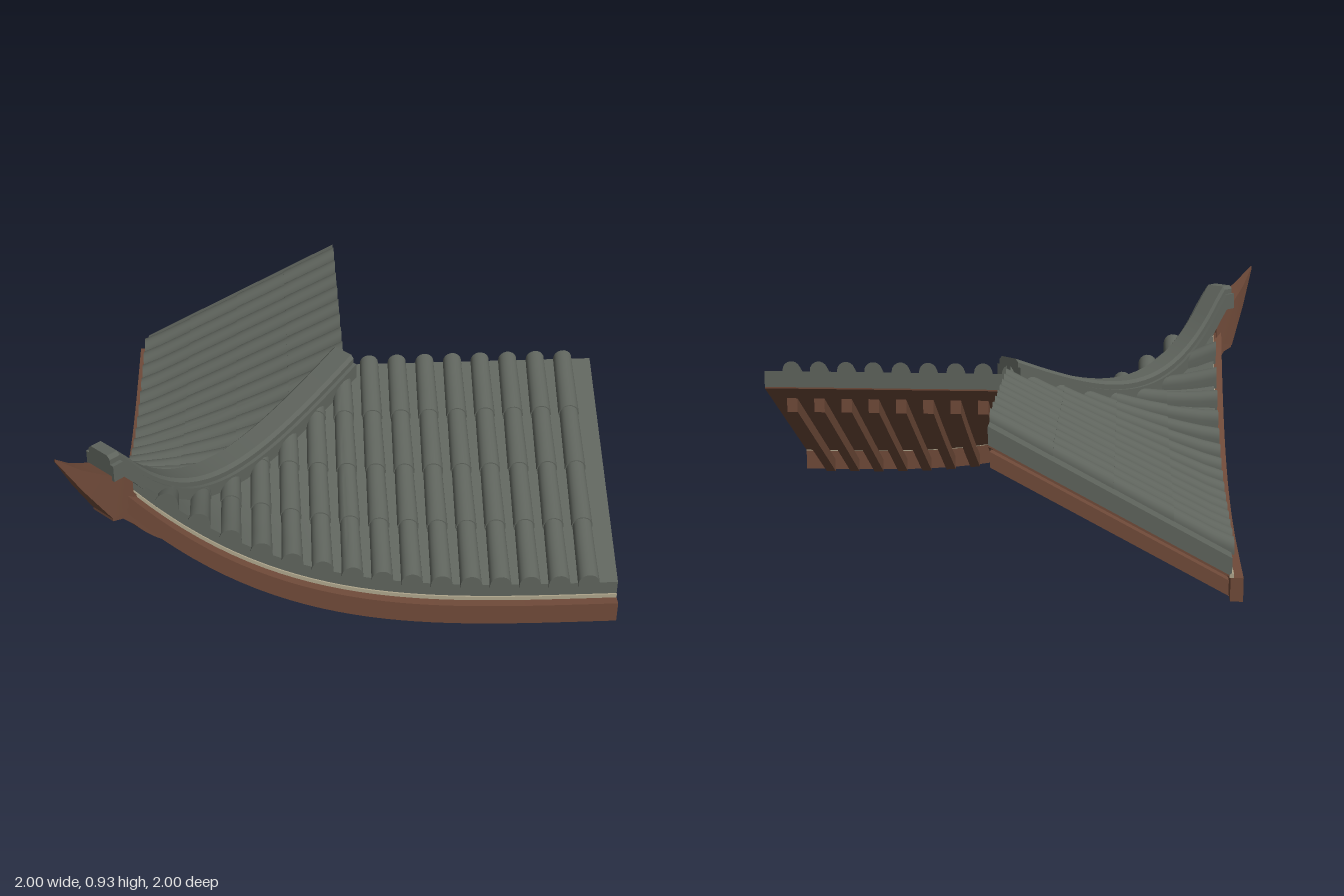
import * as THREE from 'three';
import { toCreasedNormals } from 'three/addons/utils/BufferGeometryUtils.js';

const TOP = -0.02, EAVE = 0.82;
const tile = new THREE.MeshStandardMaterial({ color: 0x5e635c });
const wood = new THREE.MeshStandardMaterial({ color: 0x6f4a39 });
const cream = new THREE.MeshStandardMaterial({ color: 0xada48b });
tile.name = 'grey tile';
wood.name = 'brown wood';
cream.name = 'cream trim';

// Roof surface: a straight slope whose eave sweeps up toward the corner
const lift = x => 0.65 * Math.pow(Math.max(0, 1 - x) / 1.85, 3.5);
function surf(x, z) {
  const v = Math.min(1, (z - TOP) / (EAVE - TOP));
  return 0.615 - 0.45 * v + lift(x) * v * v;
}
const lerp = THREE.MathUtils.lerp;

// Skin a list of even-sized rings, cap both ends, and orient outward
function loft(rings) {
  const tris = [], n = rings[0].length, last = rings.length - 1;
  const quad = (a, b, c, d) => tris.push([a, b, c], [a, c, d]);
  for (let i = 0; i < last; i++) {
    for (let j = 0; j < n; j++) {
      const k = (j + 1) % n;
      quad(rings[i][j], rings[i][k], rings[i + 1][k], rings[i + 1][j]);
    }
  }
  for (let j = 0; j < n / 2 - 1; j++) {
    const [a, b, c, d] = [j, j + 1, n - 2 - j, n - 1 - j];
    quad(rings[0][d], rings[0][c], rings[0][b], rings[0][a]);
    quad(rings[last][a], rings[last][b], rings[last][c], rings[last][d]);
  }
  const cross = new THREE.Vector3();
  let volume = 0;
  for (const [a, b, c] of tris) volume += cross.crossVectors(b, c).dot(a);
  const pos = [];
  for (const [a, b, c] of tris) {
    for (const p of volume < 0 ? [a, c, b] : [a, b, c]) pos.push(p.x, p.y, p.z);
  }
  const g = new THREE.BufferGeometry();
  g.setAttribute('position', new THREE.Float32BufferAttribute(pos, 3));
  return toCreasedNormals(g, 0.5);
}

function add(parent, name, rings, material) {
  const mesh = new THREE.Mesh(loft(rings), material);
  mesh.name = name;
  parent.add(mesh);
}

// One wing; the other is its reflection across the hip diagonal
function makeWing(mirrored) {
  const wing = new THREE.Group();
  wing.name = mirrored ? 'sideWing' : 'frontWing';
  const P = (x, y, z) => mirrored ? new THREE.Vector3(-z, y, -x) : new THREE.Vector3(x, y, z);

  // Curved layers of the roof deck, mitred along the hip
  const layer = (name, upper, lower, material) => {
    const rings = [];
    for (let i = 0; i <= 28; i++) {
      const over = [], under = [];
      for (let j = 0; j <= 12; j++) {
        const z = lerp(TOP, EAVE, j / 12), x = lerp(-z, 1, i / 28), y = surf(x, z);
        over.push(P(x, y - upper, z));
        under.unshift(P(x, y - lower, z));
      }
      rings.push([...over, ...under]);
    }
    add(wing, name, rings, material);
  };
  layer('roofDeck', 0, 0.065, tile);
  layer('sheathing', 0.065, 0.071, wood);

  // Boards following the eave curve
  const eaveBoard = (name, z0, z1, upper, lower, material) => {
    const rings = [];
    for (let i = 0; i <= 32; i++) {
      const at = (z, drop) => {
        const x = lerp(-z, 1, i / 32);
        return P(x, 0.165 + lift(x) - drop, z);
      };
      rings.push([at(z0, upper), at(z1, upper), at(z1, lower), at(z0, lower)]);
    }
    add(wing, name, rings, material);
  };
  eaveBoard('fascia', 0.815, 0.86, 0.07, 0.155, wood);
  eaveBoard('eaveTrim', 0.812, 0.826, 0.054, 0.07, cream);

  for (let k = 0; k < 15; k++) {
    const x = 0.89 - 0.11 * k;

    // Overlapping round tiles, each flaring a little downhill
    const start = Math.max(TOP, -x), end = 0.83, rings = [];
    const ring = (z, r) => {
      const y = surf(x, z), pts = [P(x + r, Math.min(y, surf(x + r, z)) - 0.01, z)];
      for (let j = 0; j <= 9; j++) {
        const a = Math.PI * j / 9;
        pts.push(P(x + r * Math.cos(a), y + 0.005 + r * Math.sin(a), z));
      }
      pts.push(P(x - r, Math.min(y, surf(x - r, z)) - 0.01, z));
      return pts;
    };
    const cuts = [end, 0.62, 0.41, 0.2].filter(z => z > start + 0.02).reverse();
    let z0 = start;
    for (const z1 of cuts) {
      for (let j = 0; j <= 3; j++) rings.push(ring(lerp(z0, z1, j / 3), lerp(0.036, 0.04, j / 3)));
      z0 = z1;
    }
    add(wing, 'tileRow', rings, tile);

    // Rafter hung under the deck
    const from = Math.max(TOP, -x), beam = [];
    for (let j = 0; j <= 10; j++) {
      const z = lerp(from, EAVE, j / 10);
      const at = (dx, drop) => P(x + dx, surf(x + dx, z) - drop, z);
      beam.push([at(-0.021, 0.11), at(0.021, 0.11), at(0.021, 0.166), at(-0.021, 0.166)]);
    }
    add(wing, 'rafter', beam, wood);
  }
  return wing;
}

// Point on the hip diagonal: t along it, w across it
const hip = (t, w, y) => new THREE.Vector3(-t + w * Math.SQRT1_2, y, t + w * Math.SQRT1_2);

function hipBeam(parent, name, t0, t1, limit, profile, material) {
  const rings = [];
  for (let i = 0; i <= 28; i++) {
    const t = lerp(t0, t1, i / 28), s = Math.min(t, limit), y = surf(-s, s);
    rings.push(profile.map(([w, h]) => hip(t, w, y + h)));
  }
  add(parent, name, rings, material);
}

export function createModel() {
  const model = new THREE.Group();
  model.name = 'roofCorner';
  model.add(makeWing(false), makeWing(true));

  // Stepped ridge along the hip
  const box = (w, lo, hi) => [[-w, lo], [-w, hi], [w, hi], [w, lo]];
  hipBeam(model, 'ridgeBase', -0.018, 0.865, 0.835, box(0.07, -0.03, 0.035), tile);
  hipBeam(model, 'ridgeCap', -0.018, 0.865, 0.835,
    [[-0.055, 0.03], [-0.055, 0.055], [-0.042, 0.068], [0.042, 0.068], [0.055, 0.055], [0.055, 0.03]], tile);

  // Beam below the hip
  hipBeam(model, 'hipRafter', -0.015, 0.87, 0.85, box(0.052, -0.225, -0.075), wood);

  // Upturned pointed corner
  const spike = [[0.8, 0.055, 0.62, 0.72], [0.87, 0.058, 0.6, 0.79], [0.94, 0.03, 0.765, 0.855], [0.998, 0.003, 0.92, 0.93]];
  add(model, 'cornerSpike', spike.map(([t, w, lo, hi]) => [hip(t, -w, lo), hip(t, -w, hi), hip(t, w, hi), hip(t, w, lo)]), wood);
  return model;
}
